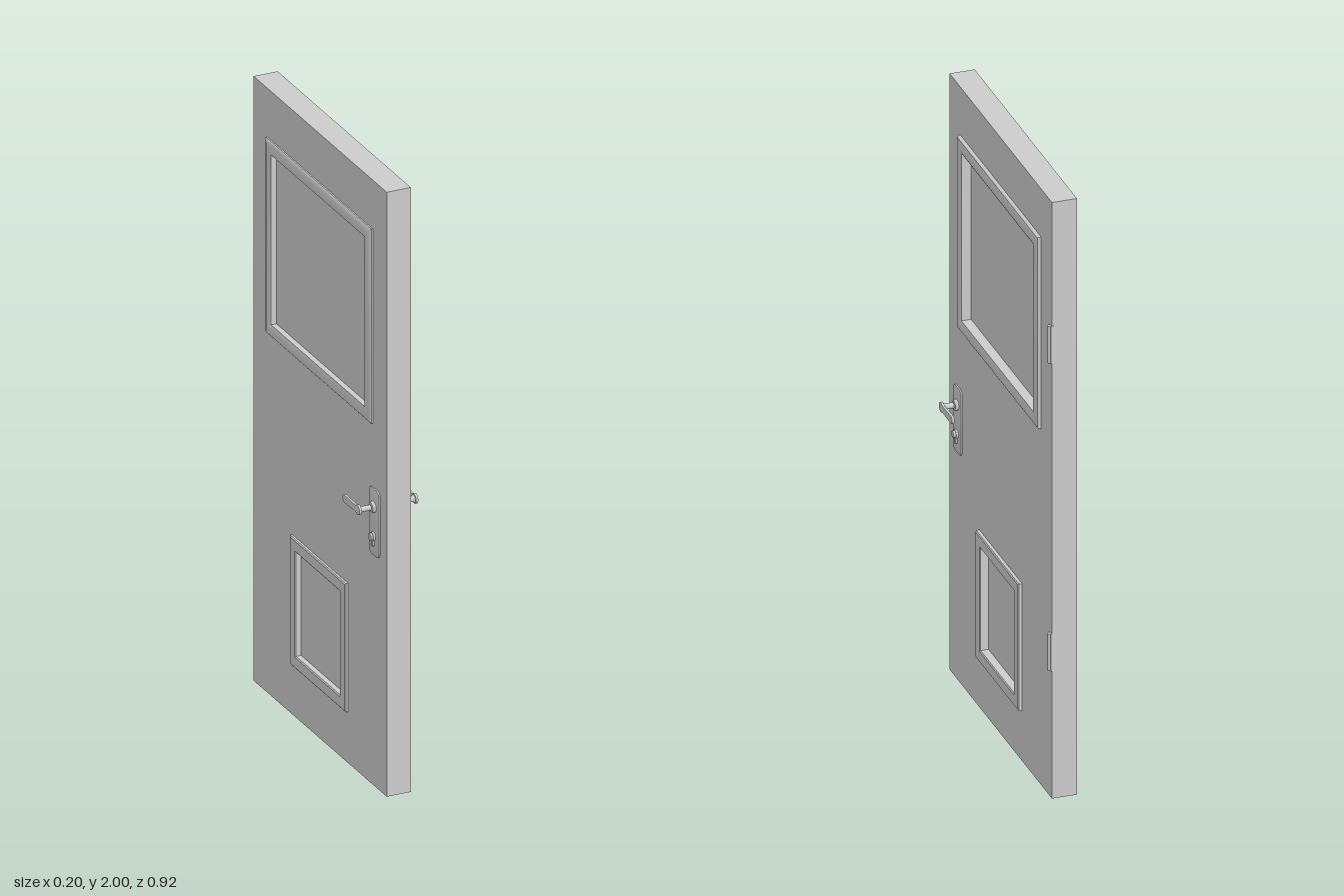
import * as THREE from 'three';
import { toCreasedNormals } from 'three/addons/utils/BufferGeometryUtils.js';

const material = new THREE.MeshStandardMaterial({ color: 0xcccccc });
const HALF = 0.04; // half of the door thickness

// Panels: centre height y, outer half sizes, moulding width, pane depth range
const panels = [
  { name: 'upper', y: 1.517, w: 0.364, h: 0.322, band: 0.041, pane: [-0.03, 0.02], round: true },
  { name: 'lower', y: 0.382, w: 0.193, h: 0.213, band: 0.041, pane: [-0.03, 0.025], round: false },
];

function addMesh(parent, name, geometry, x = 0, y = 0, z = 0) {
  const mesh = new THREE.Mesh(geometry, material);
  mesh.name = name;
  mesh.position.set(x, y, z);
  parent.add(mesh);
  return mesh;
}

function extrude(shape, depth, bevel = 0) {
  const geometry = new THREE.ExtrudeGeometry(shape, {
    depth: depth - bevel, bevelEnabled: bevel > 0, bevelThickness: bevel,
    bevelSize: bevel, bevelOffset: -bevel, bevelSegments: 2, curveSegments: 10,
  });
  return toCreasedNormals(geometry, 0.6);
}

function rectangle(PathType, w, h, y = 0) {
  return new PathType([[-w, y - h], [w, y - h], [w, y + h], [-w, y + h]].map(p => new THREE.Vector2(...p)));
}

function roundedRectangle(w, h, r) {
  const s = new THREE.Shape();
  s.absarc(w - r, h - r, r, 0, Math.PI / 2);
  s.absarc(r - w, h - r, r, Math.PI / 2, Math.PI);
  s.absarc(r - w, r - h, r, Math.PI, Math.PI * 1.5);
  s.absarc(w - r, r - h, r, Math.PI * 1.5, Math.PI * 2);
  s.closePath();
  return s;
}

// Mitred rectangular moulding; profile points are [inset from outer edge, height]
function moulding(w, h, profile) {
  const corners = [[-1, -1], [1, -1], [1, 1], [-1, 1]];
  const point = (c, [inset, z]) => [c[0] * (w - inset), c[1] * (h - inset), z];
  const positions = [];
  for (let i = 0; i < 4; i++) {
    const a = corners[i], b = corners[(i + 1) % 4];
    for (let k = 0; k < profile.length - 1; k++) {
      const p = profile[k], q = profile[k + 1];
      const [a0, b0, b1, a1] = [point(a, p), point(b, p), point(b, q), point(a, q)];
      positions.push(...a0, ...b0, ...b1, ...a0, ...b1, ...a1);
    }
  }
  const geometry = new THREE.BufferGeometry();
  geometry.setAttribute('position', new THREE.Float32BufferAttribute(positions, 3));
  geometry.computeVertexNormals();
  return toCreasedNormals(geometry, 0.6);
}

// Round part turned about the axis that points out of the door face
function turned(points) {
  const geometry = new THREE.LatheGeometry(points.map(p => new THREE.Vector2(...p)), 20);
  return toCreasedNormals(geometry.rotateX(Math.PI / 2), 0.6);
}

// Lock plate, lever and key cylinder; dir is the way the lever points
function handleSet(dir, reach) {
  const group = new THREE.Group();
  group.name = 'handleSet';
  addMesh(group, 'lockPlate', extrude(roundedRectangle(0.035, 0.11, 0.017), 0.006, 0.002), 0, 0.876, HALF - 0.001);

  // Rose and spindle
  addMesh(group, 'spindle', turned([
    [0.018, HALF], [0.018, 0.05], [0.015, 0.055], [0.009, 0.057], [0.009, reach - 0.014],
    [0.013, reach - 0.008], [0.013, reach - 0.004], [0, reach - 0.004],
  ]), 0, 0.927, 0);

  // Flat lever with a round boss and a slightly narrower grip
  const lever = new THREE.Shape();
  lever.absarc(0, 0, 0.016, 0.8, Math.PI * 2 - 0.8);
  lever.lineTo(0.02, -0.011);
  lever.lineTo(0.088, -0.013);
  lever.absarc(0.09, 0, 0.013, -Math.PI / 2, Math.PI / 2);
  lever.lineTo(0.02, 0.011);
  lever.closePath();
  const geometry = extrude(lever, 0.007, 0.0015);
  // The lever is symmetric top to bottom, so half a turn points it the other way
  const bar = addMesh(group, 'lever', geometry, 0, 0.927, reach - 0.007);
  bar.rotation.z = dir > 0 ? 0 : Math.PI;

  // Key cylinder: round head with a short tail, and a turning plug
  const key = new THREE.Shape();
  key.absarc(0, 0, 0.014, -1.1, Math.PI + 1.1);
  key.lineTo(-0.006, -0.026);
  key.absarc(0, -0.026, 0.006, Math.PI, Math.PI * 2);
  key.closePath();
  addMesh(group, 'keyCylinder', extrude(key, 0.012, 0.001), 0, 0.83, HALF);
  const plug = new THREE.Shape();
  plug.absarc(0, 0, 0.011, 0, Math.PI * 2);
  plug.holes.push(rectangle(THREE.Path, 0.0015, 0.006));
  addMesh(group, 'keyPlug', extrude(plug, 0.009), 0, 0.83, 0.05);
  return group;
}

export function createModel() {
  const door = new THREE.Group();
  door.name = 'door';

  // Slab with two openings
  const outline = rectangle(THREE.Shape, 0.46, 1, 1);
  for (const p of panels) outline.holes.push(rectangle(THREE.Path, p.w - p.band, p.h - p.band, p.y));
  const slab = new THREE.ExtrudeGeometry(outline, { depth: HALF * 2, bevelEnabled: false });
  addMesh(door, 'slab', slab.translate(0, 0, -HALF).rotateY(Math.PI / 2));

  // Recessed panes
  for (const p of panels) {
    const [back, front] = p.pane;
    const size = [front - back, 2 * (p.h - p.band), 2 * (p.w - p.band)];
    addMesh(door, p.name + 'Pane', new THREE.BoxGeometry(...size), (back + front) / 2, p.y, 0);
  }

  // Both faces: local z points out of the door
  for (const side of [1, -1]) {
    const face = new THREE.Group();
    face.name = side > 0 ? 'leftFace' : 'rightFace';
    face.rotation.y = side * Math.PI / 2;
    const top = side > 0 ? 0.055 : 0.052;
    for (const p of panels) {
      const profile = p.round
        ? [[0, 0.039], [0, 0.045], [0.004, top - 0.004], [0.012, top - 0.001], [0.022, top],
          [0.034, top - 0.001], [0.041, top - 0.004], [0.041, 0.039]]
        : [[0, 0.039], [0, top - 0.005], [0.004, top - 0.002], [0.037, top - 0.002],
          [0.041, top - 0.005], [0.041, 0.039]];
      addMesh(face, p.name + 'Moulding', moulding(p.w, p.h, profile), 0, p.y, 0);
    }
    const handle = handleSet(side, side > 0 ? 0.097 : 0.1);
    handle.position.x = -side * 0.38;
    face.add(handle);
    door.add(face);
  }

  // Hinges: knuckle and leaf on the back edge
  for (const y of [1.522, 0.49]) {
    const hinge = new THREE.Group();
    hinge.name = 'hinge';
    addMesh(hinge, 'hingeKnuckle', new THREE.CylinderGeometry(0.007, 0.007, 0.125, 12), 0.044, 0, -0.452);
    addMesh(hinge, 'hingeLeaf', new THREE.BoxGeometry(0.008, 0.125, 0.012), 0.04, 0, -0.455);
    hinge.position.y = y;
    door.add(hinge);
  }
  return door;
}
